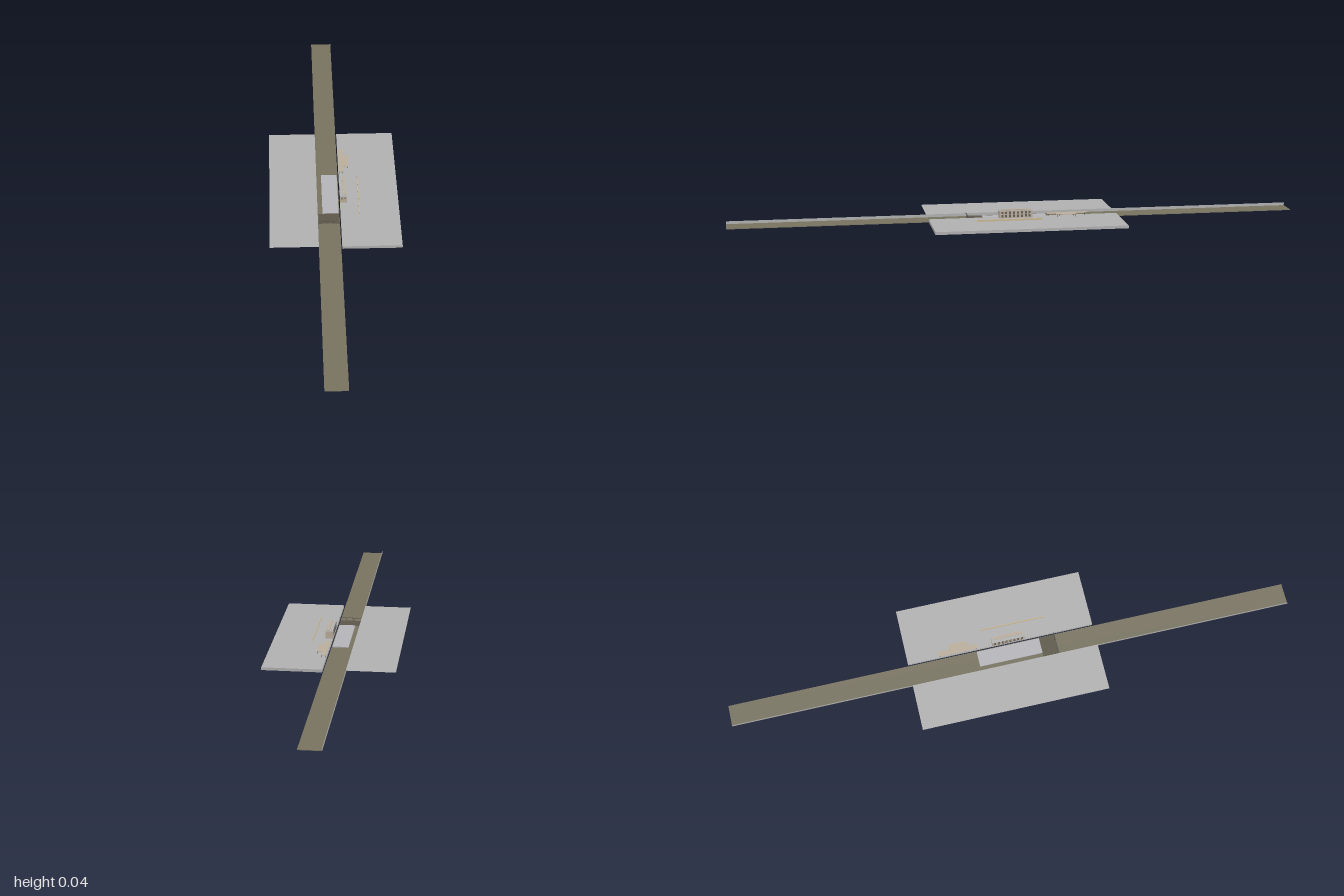
import * as THREE from 'three';

const mat = (name, color, side = THREE.FrontSide) => {
  const m = new THREE.MeshStandardMaterial({ color, side });
  m.name = name;
  return m;
};

export function createModel() {
  const root = new THREE.Group();
  root.name = 'cuttingStation';
  const paving = mat('paving grey', 0xb0b0b0, THREE.DoubleSide);
  const ballast = mat('ballast brown', 0x77725f);
  const darkBallast = mat('dark brown', 0x5c5749);
  const deck = mat('platform grey', 0xb4b4b8);
  const stone = mat('beige stone', 0xb9ac9a);
  const glass = mat('window grey', 0x5e5b58);
  const metal = mat('dark metal', 0x55534f);
  const hedge = mat('tan fence', 0xc8b48c);

  // Box given by its minimum and maximum corners
  const box = (name, material, x0, x1, y0, y1, z0, z1, parent = root) => {
    const mesh = new THREE.Mesh(new THREE.BoxGeometry(x1 - x0, y1 - y0, z1 - z0), material);
    mesh.position.set((x0 + x1) / 2, (y0 + y1) / 2, (z0 + z1) / 2);
    mesh.name = name;
    parent.add(mesh);
    return mesh;
  };
  const group = (name) => {
    const g = new THREE.Group();
    g.name = name;
    root.add(g);
    return g;
  };
  const G = 0.012; // street level

  // Track bed and its retaining wall
  box('trackBed', ballast, -0.058, 0.018, 0, 0.002, -1, 1);
  const wall = new THREE.Mesh(new THREE.PlaneGeometry(2, 0.01), paving);
  wall.rotation.y = Math.PI / 2;
  wall.position.set(-0.058, 0.007, 0);
  wall.name = 'retainingWall';
  root.add(wall);

  // Left square: a single sheet at street level
  const sheet = new THREE.Mesh(new THREE.PlaneGeometry(0.167, 0.665), paving);
  sheet.rotation.x = -Math.PI / 2;
  sheet.position.set(-0.1415, G, -0.0275);
  sheet.name = 'leftSquare';
  root.add(sheet);

  // Right square: a hollow slab with skirts and two partitions
  const square = group('rightSquare');
  box('squareTop', paving, 0.021, 0.225, G - 0.001, G, -0.36, 0.305, square);
  for (const x of [0.021, 0.224]) box('longSkirt', paving, x, x + 0.001, 0.002, G - 0.001, -0.36, 0.305, square);
  for (const z of [-0.36, -0.067, 0.06, 0.304])
    box('crossWall', paving, 0.022, 0.224, 0.002, G - 0.001, z, z + 0.001, square);

  // Low platform over the tracks and the darker bed at its end
  box('platform', deck, -0.041, 0.015, 0.002, 0.005, -0.115, 0.11);
  box('platformEnd', darkBallast, -0.056, 0.017, 0.002, 0.003, 0.11, 0.165);

  // Railed crossing at the platform end
  const crossing = group('crossing');
  box('beam', metal, -0.058, 0.021, 0.0127, 0.0137, 0.163, 0.166, crossing);
  for (const x of [-0.03, -0.003]) box('crossingPost', metal, x - 0.001, x + 0.001, 0.002, 0.013, 0.163, 0.166, crossing);
  for (let i = 0; i < 6; i++) {
    const x = -0.056 + i * 0.015;
    box('railStud', metal, x - 0.0005, x + 0.0005, 0.0137, 0.0155, 0.164, 0.165, crossing);
  }

  // Station building with raised roof and window bays
  const station = group('stationBuilding');
  box('hall', stone, 0.021, 0.046, G, 0.038, -0.057, 0.06, station);
  box('hallRoof', paving, 0.0205, 0.047, 0.038, 0.039, -0.058, 0.061, station);
  box('roofRidge', stone, 0.032, 0.042, 0.039, 0.042, -0.05, 0.053, station);
  for (let i = 0; i < 8; i++) {
    const z = -0.05 + i * 0.0138;
    for (const [y0, y1] of [[0.015, 0.024], [0.027, 0.035]]) {
      box('window', glass, 0.046, 0.0463, y0, y1, z, z + 0.007, station);
      box('window', glass, 0.0207, 0.021, y0, y1, z, z + 0.007, station);
    }
  }
  for (const x of [0.026, 0.036]) box('endWindow', glass, x, x + 0.004, 0.027, 0.034, 0.06, 0.0603, station);

  // Open shelter behind the building: stepped roof on posts
  const shelter = group('shelter');
  box('shelterRoof', stone, 0.021, 0.039, 0.0205, 0.022, -0.25, -0.11, shelter);
  box('shelterPorch', stone, 0.039, 0.057, 0.0205, 0.022, -0.21, -0.14, shelter);
  for (const z of [-0.245, -0.205, -0.155, -0.115])
    for (const x of [0.023, 0.036]) box('shelterPost', metal, x, x + 0.0015, G, 0.0205, z, z + 0.0015, shelter);
  for (const z of [-0.207, -0.145]) box('porchPost', metal, 0.054, 0.0555, G, 0.0205, z, z + 0.0015, shelter);

  // Forecourt fence
  box('forecourtFence', hedge, 0.0855, 0.088, G, 0.0175, -0.085, 0.145);

  return root;
}
